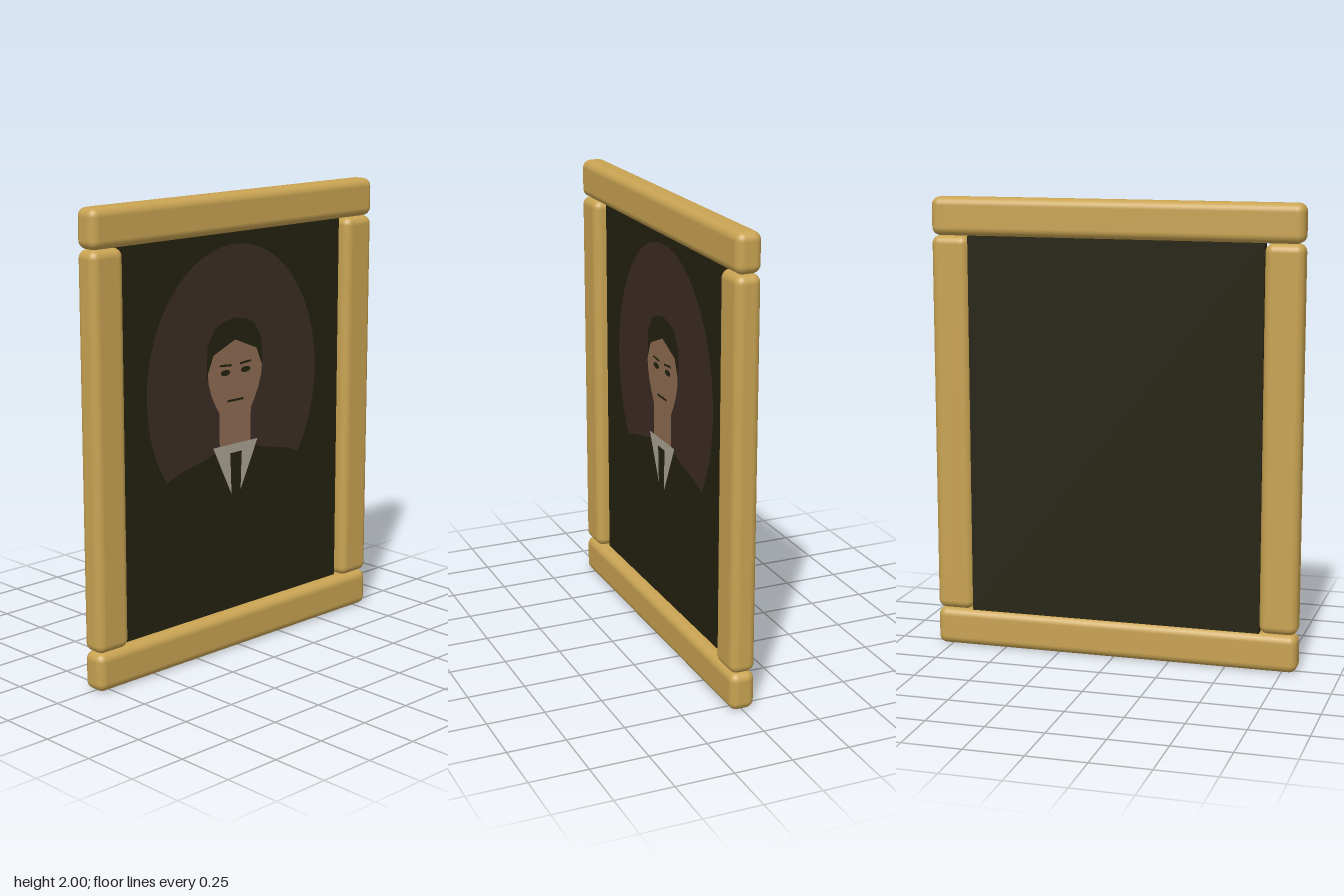
import * as THREE from 'three';
import { RoundedBoxGeometry } from 'three/addons/geometries/RoundedBoxGeometry.js';

const mat = (name, color, side = THREE.FrontSide) => {
  const m = new THREE.MeshStandardMaterial({ color, side });
  m.name = name;
  return m;
};

export function createModel() {
  const model = new THREE.Group();
  model.name = 'framedPortrait';
  const gold = mat('gold', 0xc8a352);
  const dark = mat('darkOlive', 0x24210f);
  const brown = mat('haloBrown', 0x3c2c24);
  const skin = mat('skin', 0x8f6d52);
  const linen = mat('linen', 0xaba292);

  const add = (parent, name, geometry, material, x = 0, y = 0, z = 0) => {
    const mesh = new THREE.Mesh(geometry, material);
    mesh.name = name;
    mesh.position.set(x, y, z);
    parent.add(mesh);
    return mesh;
  };

  // Frame: two full-width rails with two stiles between them
  const rail = new RoundedBoxGeometry(0.11, 0.166, 1.63, 5, 0.036);
  const stile = new RoundedBoxGeometry(0.11, 1.668, 0.166, 5, 0.036);
  add(model, 'bottomRail', rail, gold, 0, 0.083, 0);
  add(model, 'topRail', rail, gold, 0, 1.917, 0);
  for (const s of [1, -1]) {
    add(model, s > 0 ? 'leftStile' : 'rightStile', stile, gold, 0, 1, s * 0.732);
  }

  // Backing panel, set into the frame
  add(model, 'panel', new THREE.BoxGeometry(0.04, 1.67, 1.3), dark, -0.02, 1, 0);

  // Painting: flat layers drawn in the xy plane, then turned to face +x
  const painting = new THREE.Group();
  painting.name = 'painting';
  painting.rotation.y = Math.PI / 2;
  model.add(painting);
  const layer = (name, shape, material, level) =>
    add(painting, name, new THREE.ShapeGeometry(shape, 32), material, 0, 0, level * 0.0025);
  const poly = (pts) => new THREE.Shape(pts.map(([x, y]) => new THREE.Vector2(x, y)));
  // Half outline mirrored across the centre line, listed top to bottom
  const mirrored = (half) =>
    poly([...half, ...half.slice().reverse().filter(([x]) => x !== 0).map(([x, y]) => [-x, y])]);

  // Oval halo, cut along the bottom by the shoulders
  const halo = new THREE.Shape();
  const a = Math.asin(0.37 / 0.6);
  halo.absellipse(0, 1.18, 0.5, 0.6, -a, Math.PI + a, false);
  for (const [x, y] of [[-0.33, 0.836], [-0.25, 0.853], [-0.18, 0.867], [-0.13, 0.885],
    [0.13, 0.885], [0.18, 0.867], [0.25, 0.853], [0.33, 0.836]]) halo.lineTo(x, y);
  layer('halo', halo, brown, 1);

  // Head
  layer('hair', mirrored([[0, 1.466], [-0.06, 1.455], [-0.115, 1.432], [-0.16, 1.36],
    [-0.165, 1.23], [-0.14, 1.2]]), dark, 2);
  layer('faceAndNeck', mirrored([[0, 1.371], [-0.128, 1.318], [-0.161, 1.24], [-0.157, 1.2],
    [-0.14, 1.145], [-0.115, 1.095], [-0.094, 1.06], [-0.092, 0.9]]), skin, 3);

  // Collar and tie
  layer('collar', mirrored([[-0.133, 0.915], [-0.024, 0.69]]), linen, 4);
  layer('tie', mirrored([[-0.035, 0.877], [-0.031, 0.8], [-0.027, 0.688]]), dark, 5);

  // Facial features
  for (const s of [1, -1]) {
    const eye = new THREE.Shape();
    eye.absellipse(s * 0.06, 1.234, 0.028, 0.013, 0, Math.PI * 2, false);
    layer('eye', eye, dark, 4);
    layer('brow', poly([[s * 0.025, 1.258], [s * 0.095, 1.264], [s * 0.09, 1.273], [s * 0.025, 1.268]]), dark, 4);
  }
  layer('mouth', mirrored([[-0.048, 1.113], [-0.048, 1.103]]), dark, 4);

  return model;
}
